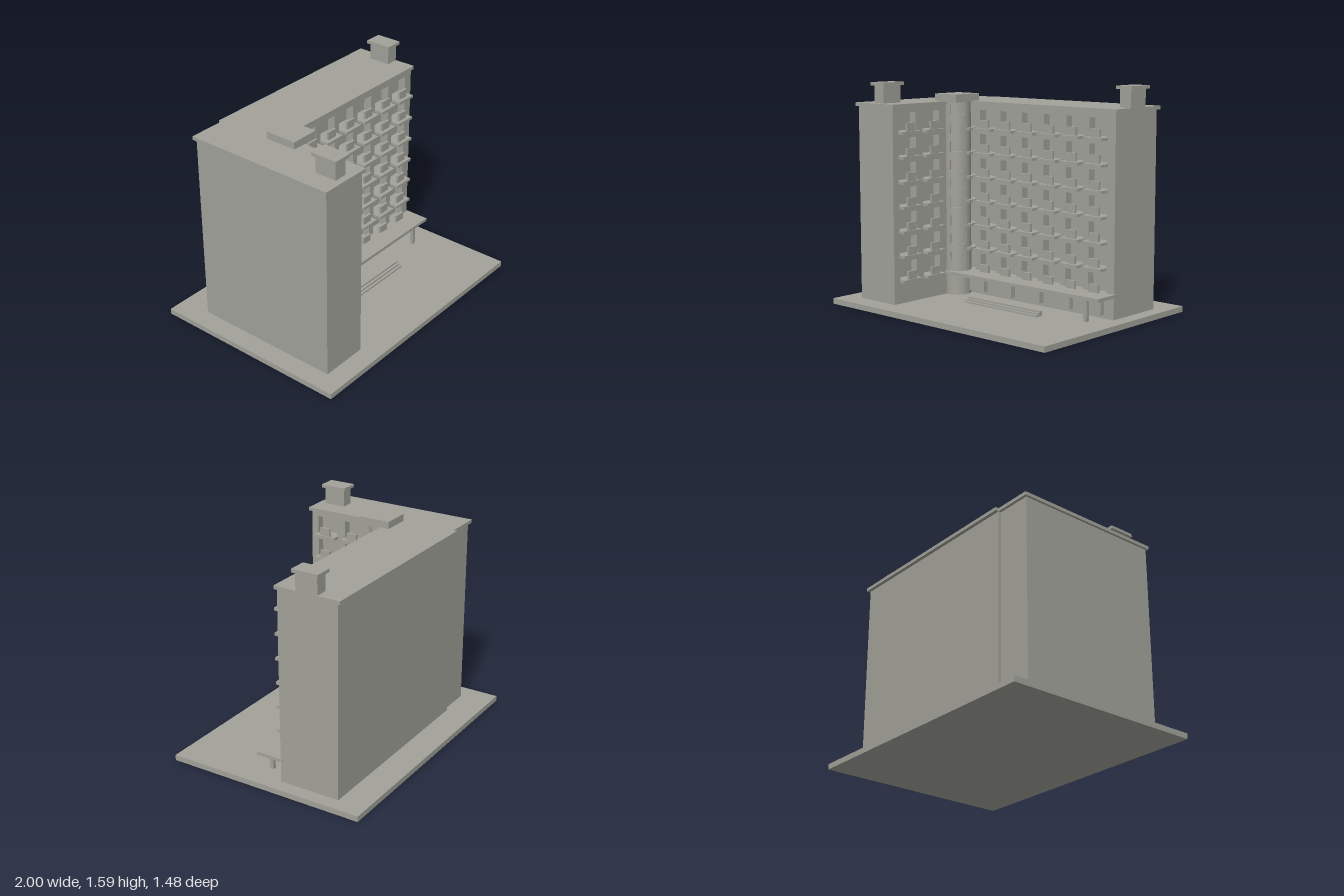
import * as THREE from 'three';
import { toCreasedNormals } from 'three/addons/utils/BufferGeometryUtils.js';

const concrete = new THREE.MeshStandardMaterial({ color: 0xa2a29a });
concrete.name = 'warm grey concrete';

const GROUND = 0.04, EAVES = 1.42, ROOF = 1.445;
const FLOORS = 7, FLOOR_HEIGHT = 0.174, FIRST_SLAB = 0.192, RECESS = 0.06;

function addMesh(parent, name, geometry) {
  const mesh = new THREE.Mesh(geometry, concrete);
  mesh.name = name;
  parent.add(mesh);
  return mesh;
}

// Box given by its limits on each axis
function box(parent, name, x0, x1, y0, y1, z0, z1) {
  const g = new THREE.BoxGeometry(x1 - x0, y1 - y0, z1 - z0);
  g.translate((x0 + x1) / 2, (y0 + y1) / 2, (z0 + z1) / 2);
  return addMesh(parent, name, g);
}

// Balcony wall facing +z with its outer plane at z = 0
function facade(name, x0, x1, centers, half, slabHalf, slabDepth) {
  const group = new THREE.Group();
  group.name = name;
  const wall = new THREE.Shape();
  wall.moveTo(x0, GROUND).lineTo(x1, GROUND).lineTo(x1, EAVES).lineTo(x0, EAVES).closePath();
  for (const c of centers) {
    for (let f = 0; f < FLOORS; f++) {
      const slab = FIRST_SLAB + f * FLOOR_HEIGHT, floor = slab + 0.02, top = floor + 0.127;
      const hole = new THREE.Path();
      hole.moveTo(c - half, floor).lineTo(c - half, top).lineTo(c + half, top)
        .lineTo(c + half, floor).closePath();
      wall.holes.push(hole);
      box(group, 'balconySlab', c - slabHalf, c + slabHalf, slab, floor, -0.005, slabDepth);
      box(group, 'balconyPanel', c - 0.04, c + 0.04, floor, floor + 0.058, 0.025, 0.043);
    }
  }
  const g = new THREE.ExtrudeGeometry(wall, { depth: RECESS, bevelEnabled: false });
  g.translate(0, 0, -RECESS);
  addMesh(group, 'balconyWall', g);
  return group;
}

// Curved wall piece; angles run from +z towards +x
function curvedWall(parent, name, inner, outer, t0, t1, y0, y1) {
  const a0 = t0 - Math.PI / 2, a1 = t1 - Math.PI / 2;
  const s = new THREE.Shape();
  s.absarc(0, 0, outer, a0, a1, false);
  s.absarc(0, 0, inner, a1, a0, true);
  s.closePath();
  const g = new THREE.ExtrudeGeometry(s, { depth: y1 - y0, bevelEnabled: false, curveSegments: 24 });
  g.rotateX(-Math.PI / 2);
  g.translate(0, y0, 0);
  addMesh(parent, name, toCreasedNormals(g, 0.6));
}

function stairTower() {
  const tower = new THREE.Group();
  tower.name = 'stairTower';
  const inner = 0.086, outer = 0.097, from = 0.2, to = 1.42;
  const core = new THREE.CylinderGeometry(inner + 0.001, inner + 0.001, ROOF - GROUND, 40);
  core.translate(0, (ROOF + GROUND) / 2, 0);
  addMesh(tower, 'towerCore', core);
  curvedWall(tower, 'towerShell', inner, outer, to, from + Math.PI * 2, GROUND, ROOF);
  // Bands between the stacked recessed windows
  let y = GROUND;
  for (let k = 0; k <= 9; k++) {
    const next = k < 9 ? 0.28 + k * 0.134 : ROOF;
    curvedWall(tower, 'towerBand', inner, outer, from, to, y, next);
    y = next + 0.075;
  }
  box(tower, 'towerCap', -0.105, 0.105, ROOF - 0.005, 1.497, -0.118, 0.118);
  tower.position.set(-0.485, 0, -0.016);
  return tower;
}

function chimney(x, z) {
  const group = new THREE.Group();
  group.name = 'chimney';
  box(group, 'chimneyStack', -0.046, 0.046, ROOF - 0.005, 1.567, -0.081, 0.081);
  box(group, 'chimneyCap', -0.066, 0.066, 1.567, 1.59, -0.098, 0.098);
  group.position.set(x, 0, z);
  return group;
}

export function createModel() {
  const model = new THREE.Group();
  model.name = 'apartmentBlock';
  box(model, 'basePlate', -1, 1, 0, GROUND, -0.74, 0.74);

  // Long wing
  box(model, 'longWing', -0.6, 0.9, GROUND, EAVES, -0.53, -0.08 - RECESS);
  box(model, 'longRoof', -0.6, 0.913, EAVES, ROOF, -0.555, -0.065);
  const columns = Array.from({ length: 7 }, (_, i) => -0.443 + i * 0.2);
  const longFacade = facade('longFacade', -0.55, 0.9, columns, 0.076, 0.08, 0.07);
  longFacade.position.z = -0.08;
  model.add(longFacade);

  // Short wing, turned to face the courtyard
  box(model, 'shortWing', -0.858, -0.51 - RECESS, GROUND, EAVES, -0.51, 0.592);
  box(model, 'shortRoof', -0.875, -0.49, EAVES, ROOF, -0.53, 0.606);
  const shortFacade = facade('shortFacade', -0.592, 0.14, [-0.455, -0.226], 0.082, 0.087, 0.05);
  shortFacade.rotation.y = Math.PI / 2;
  shortFacade.position.x = -0.51;
  model.add(shortFacade);

  model.add(stairTower(), chimney(-0.682, 0.478), chimney(0.864, -0.308));

  // Entrance canopy, post and ground floor bays
  box(model, 'canopy', -0.5, 0.91, 0.192, 0.215, -0.1, 0.103);
  box(model, 'canopyPost', 0.77, 0.797, GROUND, 0.195, 0.055, 0.082);
  for (let i = 0; i < 5; i++) {
    const c = -0.337 + i * 0.267;
    box(model, 'groundFloorBay', c - 0.088, c + 0.088, 0.065, 0.18, -0.09, -0.04);
  }

  // Courtyard steps
  for (let i = 0; i < 3; i++) {
    box(model, 'step', -0.203, 0.465, GROUND, 0.052 + i * 0.012, 0.145, 0.205 - i * 0.02);
  }
  return model;
}
